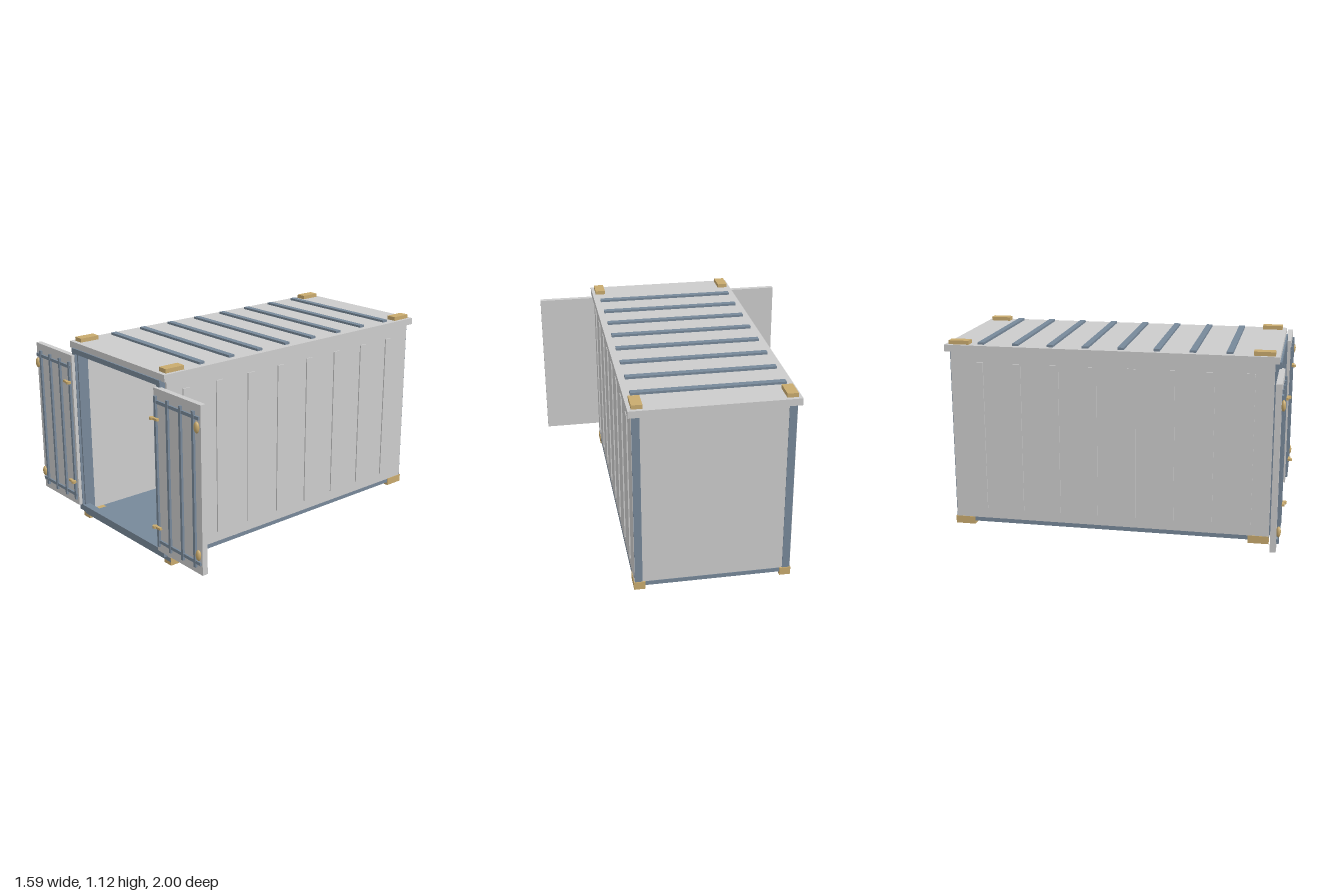
import * as THREE from 'three';

const grey = new THREE.MeshStandardMaterial({ color: 0xcccccc });
const steel = new THREE.MeshStandardMaterial({ color: 0x778899 });
const brass = new THREE.MeshStandardMaterial({ color: 0xc8aa6e });

// Box given by its extents along each axis
function box(parent, name, mat, [x0, x1], [y0, y1], [z0, z1]) {
  const mesh = new THREE.Mesh(new THREE.BoxGeometry(Math.abs(x1 - x0), y1 - y0, z1 - z0), mat);
  mesh.position.set((x0 + x1) / 2, (y0 + y1) / 2, (z0 + z1) / 2);
  mesh.name = name;
  parent.add(mesh);
  return mesh;
}

// Open door; s is the side (+1 left, -1 right)
function makeDoor(s) {
  const door = new THREE.Group();
  door.name = s > 0 ? 'leftDoor' : 'rightDoor';
  const sx = (a, b) => [s * a, s * b];
  box(door, 'doorPanel', grey, sx(0.4, 0.795), [0.097, 1.03], [0.927, 0.96]);
  for (const x of [0.423, 0.526, 0.635, 0.741])
    box(door, 'lockingBar', steel, sx(x - 0.008, x + 0.008), [0.13, 0.99], [0.958, 0.973]);
  for (const y of [0.162, 0.96])
    box(door, 'crossBar', steel, sx(0.41, 0.787), [y - 0.009, y + 0.009], [0.958, 0.97]);
  for (const y of [0.21, 0.912]) {
    const knob = new THREE.Mesh(new THREE.SphereGeometry(1, 16, 10), brass);
    knob.scale.set(0.017, 0.031, 0.013);
    knob.position.set(s * 0.773, y, 0.97);
    knob.name = 'doorKnob';
    door.add(knob);
  }
  for (const y of [0.25, 0.87]) {
    box(door, 'hingePlate', brass, sx(0.4, 0.462), [y - 0.006, y + 0.006], [0.972, 0.988]);
    const pin = new THREE.Mesh(new THREE.CylinderGeometry(0.014, 0.014, 0.014, 12), brass);
    pin.position.set(s * 0.412, y, 0.984);
    pin.name = 'hingePin';
    door.add(pin);
  }
  return door;
}

export function createModel() {
  const model = new THREE.Group();
  model.name = 'shippingContainer';

  // Shell
  box(model, 'floor', steel, [-0.44, 0.44], [0.02, 0.045], [-0.972, 0.905]);
  box(model, 'backWall', grey, [-0.415, 0.415], [0.044, 1.065], [-0.97, -0.945]);
  box(model, 'roof', grey, [-0.458, 0.458], [1.063, 1.102], [-1, 0.93]);

  for (const s of [-1, 1]) {
    box(model, 'sideWall', grey, [s * 0.41, s * 0.44], [0.044, 1.065], [-0.97, 0.905]);
    box(model, 'backPost', steel, [s * 0.395, s * 0.438], [0.03, 1.064], [-0.973, -0.93]);
    // Stepped front posts
    box(model, 'frontPost', steel, [s * 0.397, s * 0.427], [0.06, 1.067], [0.895, 0.94]);
    box(model, 'innerPost', steel, [s * 0.387, s * 0.411], [0.045, 1.064], [0.86, 0.925]);
    // Side ribs
    for (let i = 0; i < 8; i++) {
      const z = 0.775 - i * 0.225;
      box(model, 'sideRib', grey, [s * 0.435, s * 0.447], [0.105, 1], [z - 0.025, z + 0.025]);
    }
    // Corner blocks
    for (const [z0, z1] of [[-0.978, -0.858], [0.785, 0.905]]) {
      box(model, 'bottomCorner', brass, [s * 0.38, s * 0.443], [0, 0.046], [z0, z1]).scale.y = 0.99;
      box(model, 'topCorner', brass, [s * 0.378, s * 0.438], [1.1, 1.125], [z0, z1]);
    }
    model.add(makeDoor(s));
  }

  // Front frame
  box(model, 'frontHeader', steel, [-0.427, 0.427], [1.037, 1.067], [0.895, 0.939]);
  box(model, 'frontSill', steel, [-0.427, 0.427], [0.06, 0.095], [0.895, 0.939]);
  box(model, 'sillFiller', grey, [-0.41, 0.41], [0.044, 0.061], [0.88, 0.905]);

  // Roof ribs
  for (let i = 0; i < 8; i++) {
    const z = -0.79 + i * 0.206;
    box(model, 'roofRib', steel, [-0.42, 0.42], [1.1, 1.115], [z - 0.018, z + 0.018]);
  }
  return model;
}
